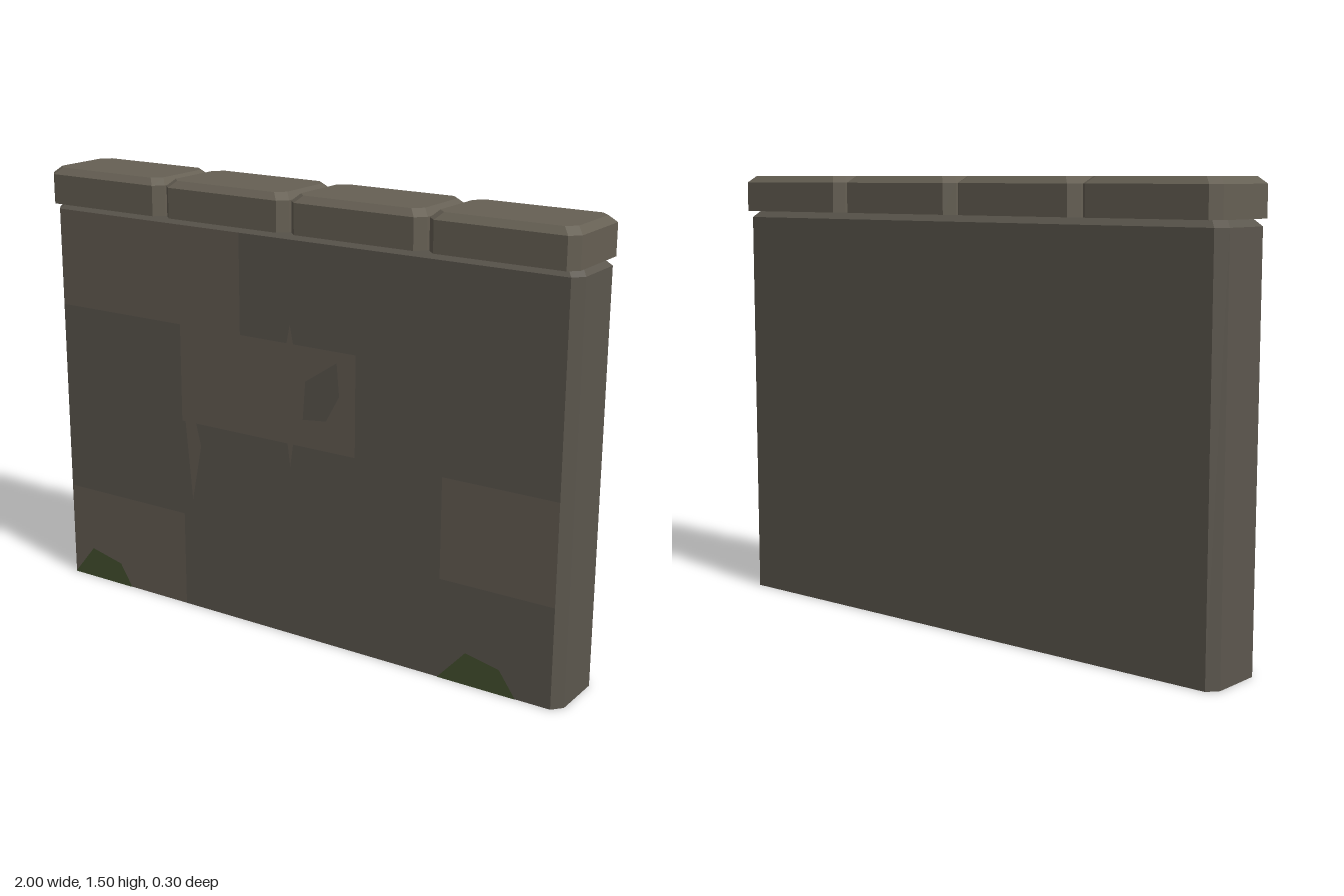
import * as THREE from 'three';

const stone = (color) => new THREE.MeshStandardMaterial({ color, flatShading: true, side: THREE.DoubleSide });
const wallStone = stone(0x5c574e);
const paleStone = stone(0x645d53);
const capStone = stone(0x666054);
const mossGreen = stone(0x44502f);

const W = 1, D = 0.125, SHOULDER = 1.355, CX = 0.03, CZ = 0.035;

// Octagonal ring: a rectangle with cut corners, anticlockwise from above
function ring(w, d, y, cx, cz) {
  return [[w, d - cz], [w, cz - d], [w - cx, -d], [cx - w, -d], [-w, cz - d], [-w, d - cz], [cx - w, d], [w - cx, d]]
    .map(([x, z]) => [x, y, z]);
}

// Open-bottomed block with cut corners and a bevelled top; one lower side may be left out
function bevelBlock(w, d, y0, y1, y2, inset, cx, cz, skipSide = -1) {
  const rings = [ring(w, d, y0, cx, cz), ring(w, d, y1, cx, cz), ring(w - inset, d - inset, y2, cx, cz)];
  const pos = [];
  const tri = (...points) => points.forEach((p) => pos.push(...p));
  for (let r = 0; r < 2; r++) {
    for (let i = 0; i < 8; i++) {
      if (r === 0 && i === skipSide) continue;
      const j = (i + 1) % 8, a = rings[r], b = rings[r + 1];
      tri(a[i], a[j], b[j]);
      tri(a[i], b[j], b[i]);
    }
  }
  for (let i = 1; i < 7; i++) tri(rings[2][0], rings[2][i], rings[2][i + 1]);
  const geo = new THREE.BufferGeometry();
  geo.setAttribute('position', new THREE.Float32BufferAttribute(pos, 3));
  geo.computeVertexNormals();
  return geo;
}

export function createModel() {
  const group = new THREE.Group();
  const add = (name, geo, mat) => {
    const mesh = new THREE.Mesh(geo, mat);
    mesh.name = name;
    group.add(mesh);
    return mesh;
  };
  const flat = (name, points, mat, z) => {
    const shape = new THREE.Shape(points.map(([x, y]) => new THREE.Vector2(x, y)));
    add(name, new THREE.ShapeGeometry(shape), mat).position.z = z;
  };

  // Wall body; its front is filled by the stone courses
  add('wallBody', bevelBlock(W, D, 0, SHOULDER, 1.38, 0.023, CX, CZ, 6), wallStone);

  // Stone courses from the bottom up: block edges, and which block is pale
  const e = W - CX;
  const courses = [
    { edges: [-e, -0.45, e], pale: 0 },
    { edges: [-e, 0.57, e], pale: 1 },
    { edges: [-e, -0.45, 0.25, e], pale: 1 },
    { edges: [-e, -0.2, e], pale: 0 },
  ];
  const h = SHOULDER / courses.length;
  courses.forEach(({ edges, pale }, row) => {
    for (let i = 0; i < edges.length - 1; i++) {
      const [l, r, b, t] = [edges[i], edges[i + 1], row * h, (row + 1) * h];
      flat('frontStone', [[l, b], [r, b], [r, t], [l, t]], i === pale ? paleStone : wallStone, D);
    }
  });

  // Chips and cracks on the front
  flat('crack', [[0, 0.6], [0.03, 0.8], [0.02, 0.98], [0, 1.08], [-0.02, 0.98], [-0.02, 0.75]], paleStone, D + 0.001);
  flat('crack', [[-0.41, 0.4], [-0.37, 0.6], [-0.39, 0.68], [-0.44, 0.73]], paleStone, D + 0.001);
  flat('chip', [[0.05, 0.77], [0.14, 0.78], [0.19, 0.87], [0.18, 0.98], [0.06, 0.9]], wallStone, D + 0.001);

  // Moss at the foot
  flat('moss', [[-0.97, 0], [-0.7, 0], [-0.75, 0.08], [-0.88, 0.11]], mossGreen, D + 0.002);
  flat('moss', [[0.57, 0], [0.85, 0], [0.79, 0.085], [0.67, 0.11]], mossGreen, D + 0.002);

  // Four coping stones along the top
  const cap = bevelBlock(0.246, 0.15, 1.377, 1.478, 1.5, 0.022, 0.03, 0.03);
  for (let i = 0; i < 4; i++) add('copingStone', cap, capStone).position.x = -0.75 + i * 0.5;

  return group;
}
